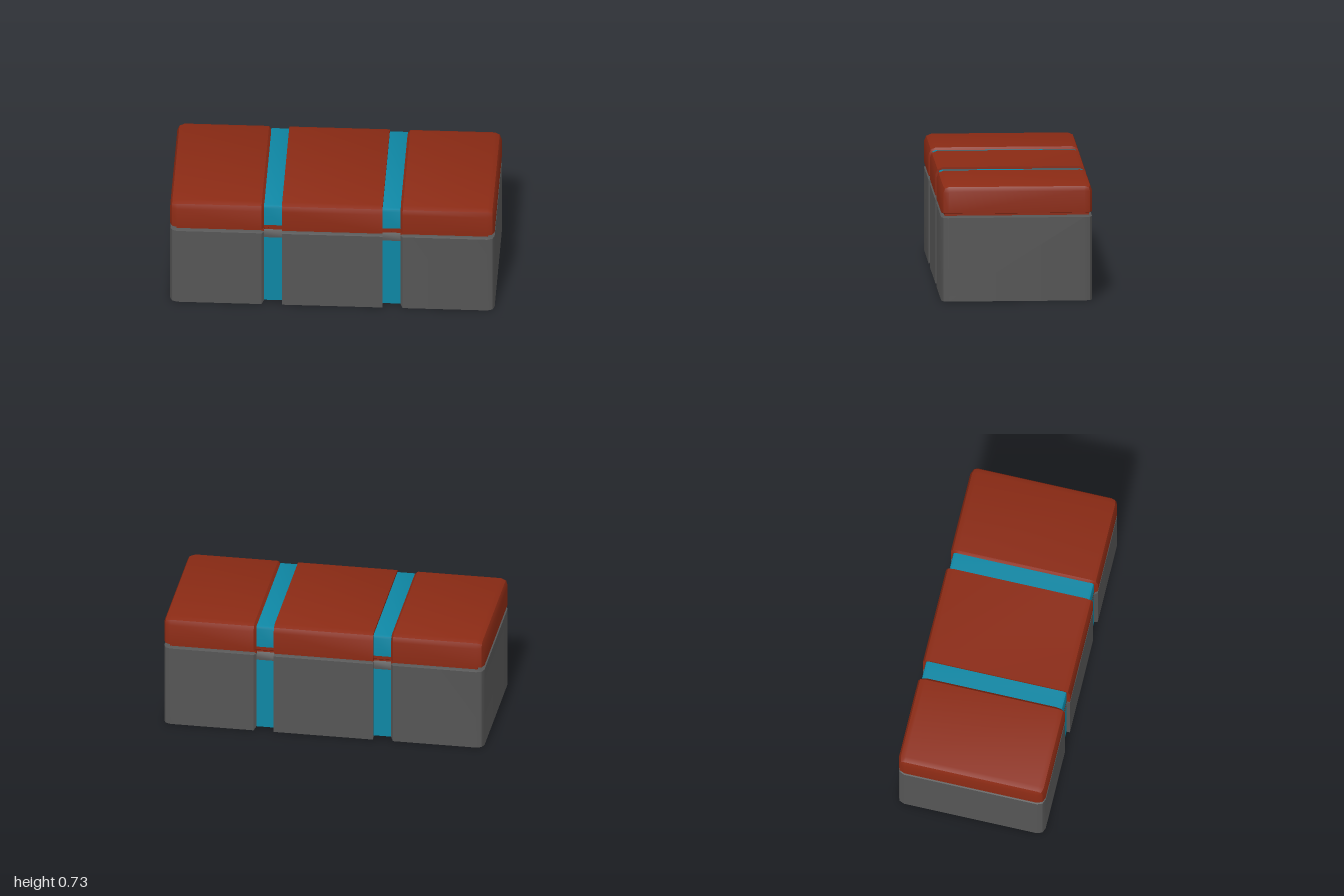
import * as THREE from 'three';
import { toCreasedNormals } from 'three/addons/utils/BufferGeometryUtils.js';

const RED = new THREE.MeshStandardMaterial({ color: 0x8a2a14 });
const GREY = new THREE.MeshStandardMaterial({ color: 0x555555 });
const TEAL = new THREE.MeshStandardMaterial({ color: 0x0e86a3 });

// Right half profile of [z, y] points, bottom to top, closed by its mirror image
const mirrored = half => [...half, ...half.slice().reverse().map(([z, y]) => [-z, y])];

// Solid through convex profiles placed at rising x positions: [[x, halfProfile], ...]
function loft(stations) {
  const n = stations[0][1].length * 2;
  const pos = [], idx = [];
  for (const [x, half] of stations) {
    for (const [z, y] of mirrored(half)) pos.push(x, y, z);
  }
  for (let i = 0; i < stations.length - 1; i++) {
    for (let j = 0; j < n; j++) {
      const a = i * n + j, b = i * n + (j + 1) % n;
      idx.push(a, a + n, b, b, a + n, b + n);
    }
  }
  const end = (stations.length - 1) * n;
  for (let k = 1; k < n - 1; k++) {
    idx.push(0, k, k + 1, end, end + k + 1, end + k);
  }
  const g = new THREE.BufferGeometry();
  g.setAttribute('position', new THREE.Float32BufferAttribute(pos, 3));
  g.setIndex(idx);
  return toCreasedNormals(g, 0.55);
}

// Box section: half width w, bottom y, and a chamfered upper rim
const bodyProfile = (w, bottom, rimW, rimY) => [[w, bottom], [w, 0.52], [rimW, rimY]];

// Lid section: chamfered lower rim and a two-step bevel of size r at the top
const lidProfile = (w, top, r, rimW, rimY) => [
  [rimW, rimY], [w, 0.55], [w, top - r], [w - 0.29 * r, top - 0.29 * r], [w - r, top],
];

export function createModel() {
  const group = new THREE.Group();
  const add = (parent, name, stations, material) => {
    const mesh = new THREE.Mesh(loft(stations), material);
    mesh.name = name;
    parent.add(mesh);
  };

  // Middle section
  const bodyMid = bodyProfile(0.465, 0, 0.445, 0.53);
  const lidMid = lidProfile(0.465, 0.725, 0.045, 0.445, 0.54);
  const neck = [[0.445, 0.525], [0.445, 0.545]];
  const across = p => [[-0.31, p], [0.31, p]];
  add(group, 'middleBody', across(bodyMid), GREY);
  add(group, 'middleNeck', across(neck), RED);
  add(group, 'middleLid', across(lidMid), RED);

  // Each half: end section with bevelled outer corners, and a recessed strap
  for (const side of ['left', 'right']) {
    const half = new THREE.Group();
    half.name = side + 'Half';
    if (side === 'right') half.rotation.y = Math.PI;
    group.add(half);

    add(half, 'endBody', [
      [0.42, bodyProfile(0.445, 0.02, 0.43, 0.53)],
      [0.435, bodyMid],
      [0.955, bodyMid],
      [0.987, bodyProfile(0.452, 0, 0.436, 0.523)],
      [1, bodyProfile(0.42, 0, 0.415, 0.521)],
    ], GREY);
    add(half, 'endNeck', [[0.42, neck], [0.96, neck]], RED);
    add(half, 'endLid', [
      [0.42, lidProfile(0.445, 0.71, 0.04, 0.43, 0.54)],
      [0.435, lidMid],
      [0.955, lidMid],
      [0.987, lidProfile(0.452, 0.712, 0.032, 0.436, 0.547)],
      [1, lidProfile(0.42, 0.685, 0.004, 0.415, 0.549)],
    ], RED);

    // Strap channel, from the bottom up
    const strap = (name, profile, material) =>
      add(half, name, [[0.31, profile], [0.421, profile]], material);
    strap('lowerStrap', [[0.445, 0.02], [0.445, 0.48]], TEAL);
    strap('channelRim', [[0.445, 0.48], [0.445, 0.5], [0.43, 0.53]], GREY);
    strap('channelNeck', [[0.43, 0.53], [0.43, 0.54]], RED);
    strap('channelLidRim', [[0.43, 0.54], [0.445, 0.55], [0.445, 0.57]], RED);
    strap('upperStrap', [[0.445, 0.57], [0.445, 0.69], [0.441, 0.704], [0.425, 0.71]], TEAL);
  }
  return group;
}
